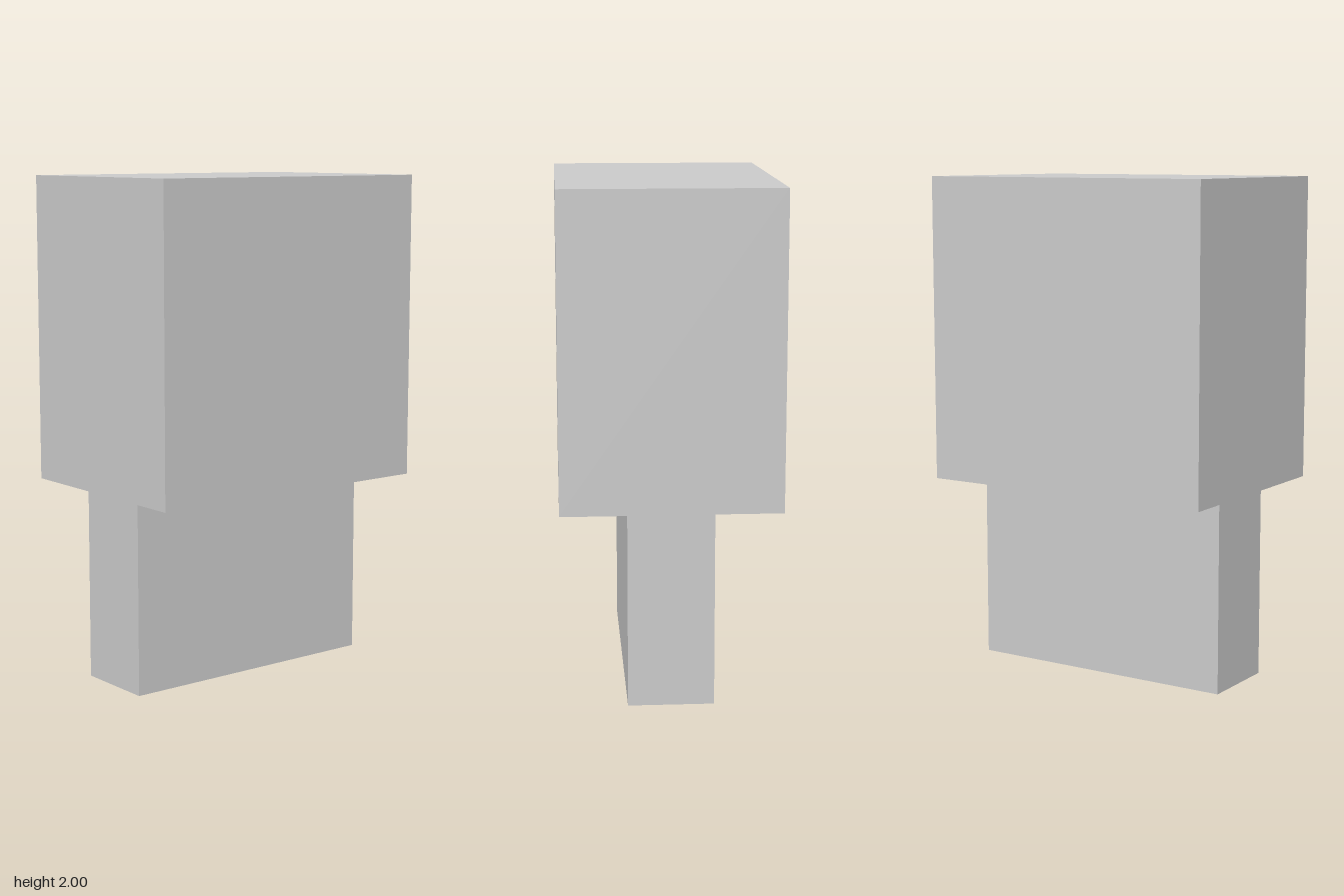
import * as THREE from 'three';

const material = new THREE.MeshStandardMaterial({ color: 0xcccccc, flatShading: true });

// A named box standing on height y
function block(name, width, height, depth, y) {
  const mesh = new THREE.Mesh(new THREE.BoxGeometry(width, height, depth), material);
  mesh.name = name;
  mesh.position.y = y + height / 2;
  return mesh;
}

export function createModel() {
  const model = new THREE.Group();
  model.name = 'blockOnStem';
  const stemHeight = 0.78;
  // Narrow stem below, wide head on top
  model.add(block('stem', 0.335, stemHeight, 1.12, 0));
  model.add(block('head', 0.85, 2 - stemHeight, 1.235, stemHeight));
  return model;
}
